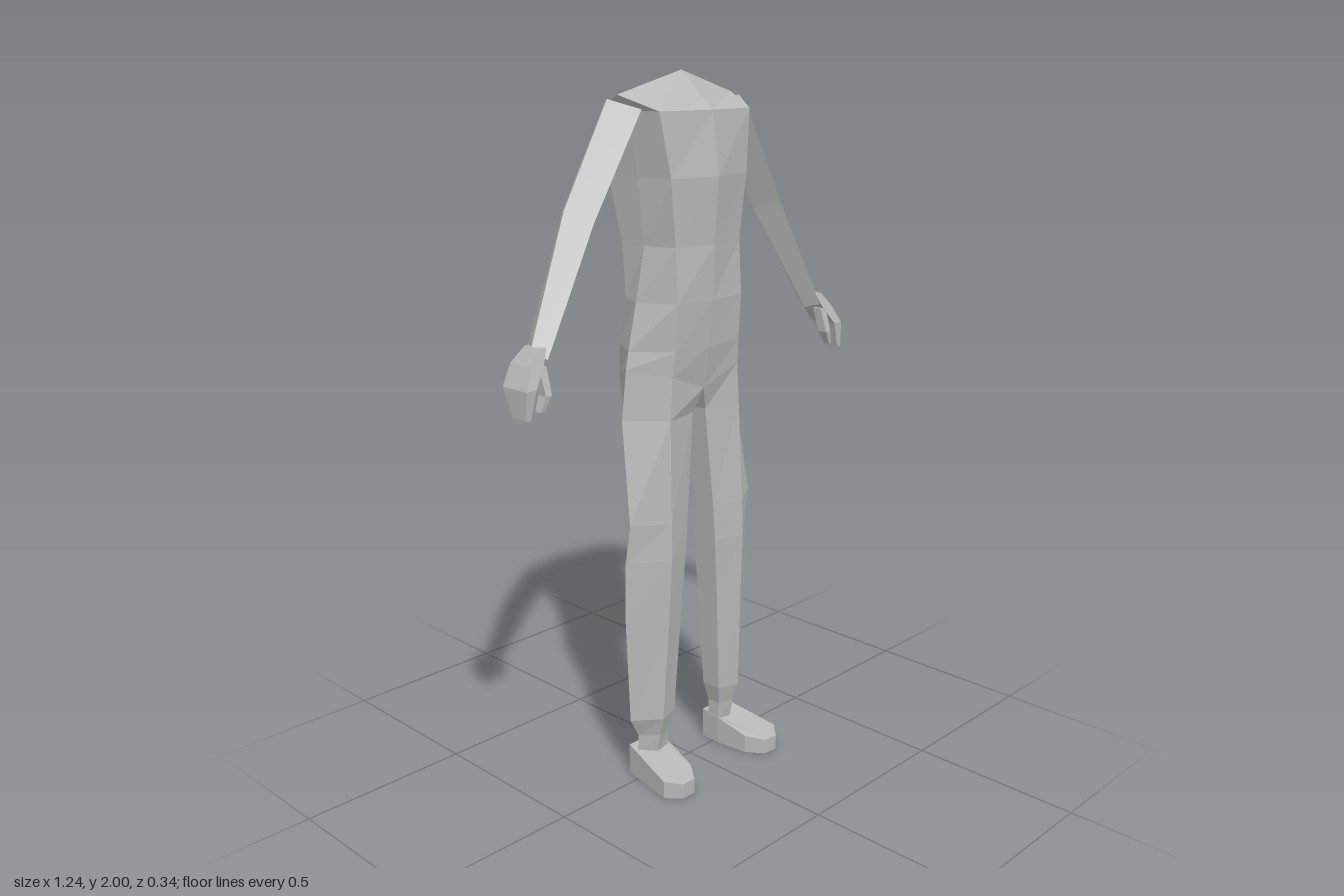
import * as THREE from 'three';

const suitGrey = new THREE.MeshStandardMaterial({ color: 0xb8b8b8 });
suitGrey.name = 'suitGrey';
suitGrey.flatShading = true;

// Skin a stack of rings, bottom to top; each ring runs counter-clockwise seen from above.
function loft(name, rings, { side = 1, capBottom = true, capTop = true } = {}) {
  if (side < 0) rings = rings.map(r => r.map(([x, y, z]) => [-x, y, z]).reverse());
  const pos = [];
  const same = (a, b) => a.every((v, k) => Math.abs(v - b[k]) < 1e-6);
  const tri = (a, b, c) => {
    if (!same(a, b) && !same(b, c) && !same(a, c)) pos.push(...a, ...b, ...c);
  };
  const n = rings[0].length;
  for (let r = 0; r + 1 < rings.length; r++) {
    for (let i = 0; i < n; i++) {
      const j = (i + 1) % n;
      tri(rings[r][i], rings[r][j], rings[r + 1][j]);
      tri(rings[r][i], rings[r + 1][j], rings[r + 1][i]);
    }
  }
  const first = rings[0], last = rings[rings.length - 1];
  for (let i = 1; i + 1 < n; i++) {
    if (capBottom) tri(first[0], first[i + 1], first[i]);
    if (capTop) tri(last[0], last[i], last[i + 1]);
  }
  const geo = new THREE.BufferGeometry();
  geo.setAttribute('position', new THREE.Float32BufferAttribute(pos, 3));
  geo.computeVertexNormals();
  const mesh = new THREE.Mesh(geo, suitGrey);
  mesh.name = name;
  return mesh;
}

// Complete a half ring (front centre ... back centre) with its mirror image.
const mirrorRing = half => [
  ...half,
  ...half.slice(1, -1).reverse().map(([x, y, z]) => [-x, y, z]),
];

// Level half ring: front centre, front corner, side, back corner, back centre.
const level = (y, zf, [cx, cz], [sx, sz], [bx, bz], zb) =>
  [[0, y, zf], [cx, y, cz], [sx, y, sz], [bx, y, bz], [0, y, zb]];

// Rectangular ring at one height.
const rect = (y, x0, x1, zf, zb) => [[x0, y, zf], [x1, y, zf], [x1, y, zb], [x0, y, zb]];

// Hip line shared by the torso and the legs
const hip = [[0, 1.15, 0.055], [0.13, 1.2, 0.062], [0.215, 1.22, -0.03], [0.13, 1.18, -0.148], [0, 1.13, -0.09]];
const ridge = [0, 2, -0.03];
const shoulder = [0.215, 1.94, -0.05];

function torso() {
  const halves = [
    hip,
    level(1.27, 0.078, [0.125, 0.07], [0.205, -0.03], [0.135, -0.14], -0.152),
    level(1.4, 0.09, [0.125, 0.078], [0.175, -0.03], [0.15, -0.095], -0.12),
    level(1.55, 0.095, [0.124, 0.07], [0.152, -0.02], [0.157, -0.1], -0.127),
    level(1.73, 0.107, [0.145, 0.075], [0.165, -0.03], [0.175, -0.13], -0.172),
    level(1.9, 0.085, [0.172, 0.06], [0.185, -0.04], [0.19, -0.13], -0.155),
    [ridge, shoulder, shoulder, shoulder, ridge],
  ];
  return loft('torso', halves.map(mirrorRing), { capBottom: false, capTop: false });
}

// Leg ring: front, outer, back, inner back, inner front
const legRing = (y, mid, outer, inner, zf, zb) => [
  [mid, y, zf], [outer, y, (zf + zb) / 2 - 0.005], [mid, y, zb],
  [inner, y, zb * 0.55], [inner, y, zf * 0.6],
];

function leg(side) {
  const rings = [
    legRing(0.07, 0.155, 0.2, 0.11, 0.022, -0.045),
    legRing(0.13, 0.155, 0.2, 0.11, 0.032, -0.046),
    legRing(0.19, 0.16, 0.233, 0.095, 0.05, -0.06),
    legRing(0.5, 0.15, 0.25, 0.075, 0.066, -0.07),
    legRing(0.68, 0.147, 0.25, 0.06, 0.075, -0.072),
    legRing(0.79, 0.145, 0.243, 0.052, 0.073, -0.046),
    legRing(1.08, 0.138, 0.226, 0.025, 0.062, -0.125),
    [...hip.slice(1), hip[0]],
  ];
  return loft('leg', rings, { side, capTop: false });
}

// Wedge shoe: flat sole outline with a sloping top
function foot(side) {
  const outline = [[0.155, 0.17], [0.2, 0.172], [0.238, 0.13], [0.205, -0.046], [0.108, -0.046], [0.105, 0.02], [0.118, 0.12]];
  const top = z => 0.09 - 0.045 * THREE.MathUtils.clamp(z / 0.15, 0, 1);
  return loft('foot', [
    outline.map(([x, z]) => [x, 0, z]),
    outline.map(([x, z]) => [x, top(z), z]),
  ], { side });
}

// Diamond-section sleeve: front, outer, back, inner at wrist, elbow and shoulder
function arm(side) {
  return loft('arm', [
    [[0.535, 1.31, 0.03], [0.56, 1.335, -0.005], [0.532, 1.325, -0.055], [0.505, 1.3, -0.005]],
    [[0.36, 1.63, 0.015], [0.403, 1.66, -0.05], [0.36, 1.645, -0.11], [0.312, 1.61, -0.045]],
    [[0.2, 1.905, 0.025], [0.25, 1.93, -0.05], [0.2, 1.92, -0.112], [0.175, 1.83, -0.05]],
  ], { side });
}

function hand(side) {
  const group = new THREE.Group();
  group.name = 'hand';
  group.add(
    loft('fingers', [
      rect(1.17, 0.607, 0.621, 0.045, -0.008),
      rect(1.245, 0.588, 0.62, 0.048, -0.045),
      rect(1.3, 0.548, 0.59, 0.03, -0.05),
      rect(1.34, 0.528, 0.556, 0.018, -0.035),
    ], { side }),
    loft('thumb', [
      rect(1.185, 0.565, 0.577, 0.046, 0.026),
      rect(1.225, 0.543, 0.562, 0.052, 0.022),
      rect(1.295, 0.54, 0.565, 0.03, 0),
    ], { side }),
  );
  return group;
}

export function createModel() {
  const model = new THREE.Group();
  model.name = 'headlessFigure';
  model.add(torso());
  for (const side of [1, -1]) {
    const limbs = new THREE.Group();
    limbs.name = side > 0 ? 'leftLimbs' : 'rightLimbs';
    limbs.add(leg(side), foot(side), arm(side), hand(side));
    model.add(limbs);
  }
  return model;
}
